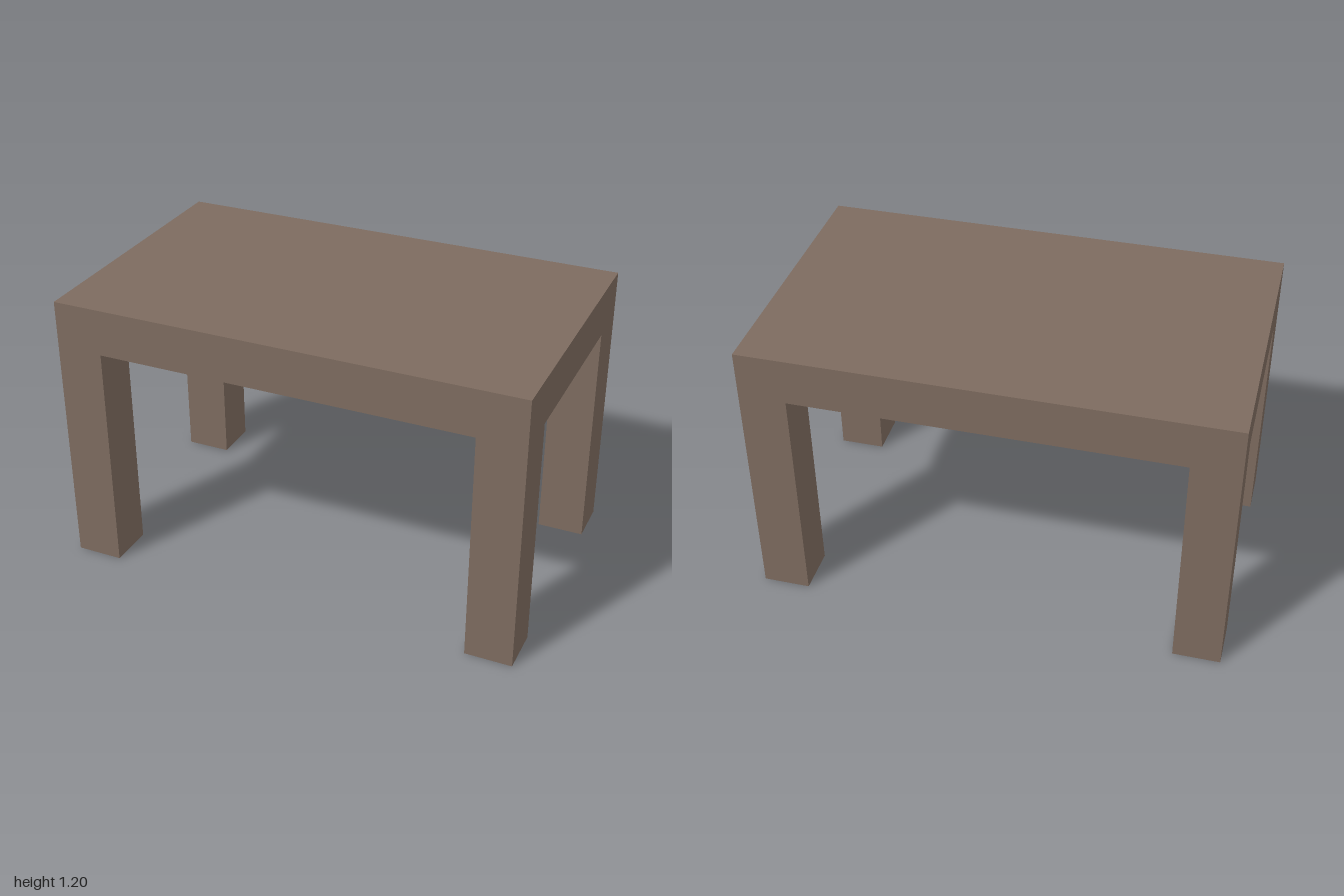
import * as THREE from 'three';

export function createModel() {
  const model = new THREE.Group();
  model.name = 'table';
  const wood = new THREE.MeshStandardMaterial({ color: 0x7d6b5f });
  wood.name = 'brown wood';

  const addBox = (name, size, position) => {
    const mesh = new THREE.Mesh(new THREE.BoxGeometry(...size), wood);
    mesh.name = name;
    mesh.position.set(...position);
    model.add(mesh);
  };

  // Thick slab top
  addBox('tableTop', [2, 0.2, 1.2], [0, 1.1, 0]);

  // Square legs flush with the corners
  for (const [xName, x] of [['Left', 0.9], ['Right', -0.9]]) {
    for (const [zName, z] of [['front', 0.5], ['back', -0.5]]) {
      addBox(`${zName}${xName}Leg`, [0.2, 1, 0.2], [x, 0.5, z]);
    }
  }
  return model;
}
